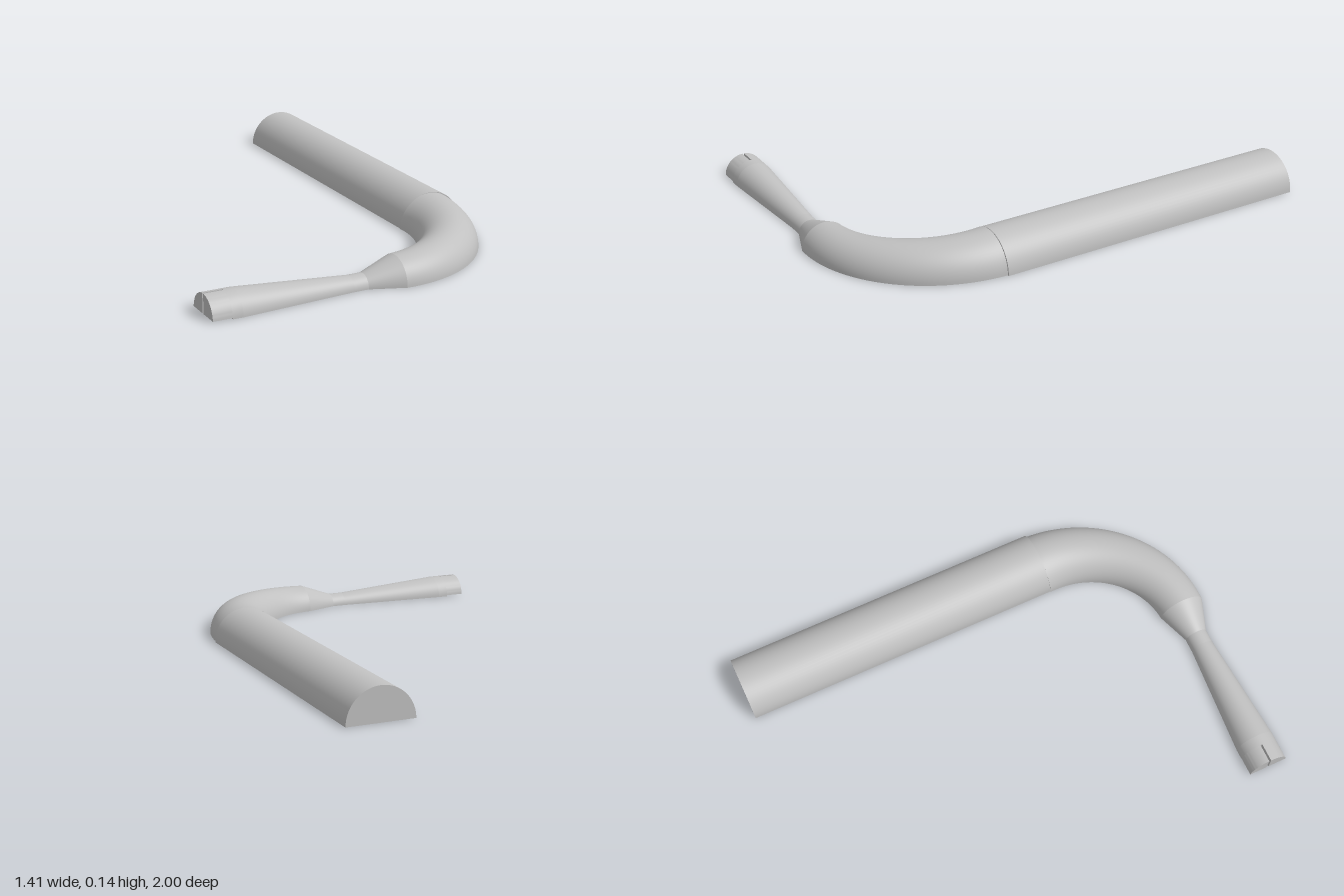
import * as THREE from 'three';
import { toCreasedNormals } from 'three/addons/utils/BufferGeometryUtils.js';

const ARC = 32;

// Sweeps a flat-bottomed half disc along stations { x, z, r, dx, dz }
function halfRoundSweep(stations) {
  const pos = [], index = [];
  const ringPoint = (s, j) => {
    const t = (Math.PI * j) / ARC, len = Math.hypot(s.dx, s.dz);
    const side = s.r * Math.cos(t) / len;
    return [s.x + s.dz * side, s.r * Math.sin(t), s.z - s.dx * side];
  };
  // arc columns followed by two separate columns for the flat base
  const columns = [...Array(ARC + 1).keys(), ARC, 0];
  const n = columns.length;
  for (const s of stations) for (const j of columns) pos.push(...ringPoint(s, j));
  for (let i = 0; i < stations.length - 1; i++) {
    for (let j = 0; j < n - 1; j++) {
      if (j === ARC) continue;
      const a = i * n + j, b = a + n;
      index.push(a, a + 1, b, a + 1, b + 1, b);
    }
  }
  // end caps
  const cap = (s, start) => {
    const c = pos.length / 3;
    pos.push(s.x, 0, s.z);
    for (let j = 0; j <= ARC; j++) pos.push(...ringPoint(s, j));
    for (let j = 1; j <= ARC; j++) {
      if (start) index.push(c, c + j + 1, c + j);
      else index.push(c, c + j, c + j + 1);
    }
  };
  cap(stations[0], true);
  cap(stations[stations.length - 1], false);
  const geo = new THREE.BufferGeometry();
  geo.setAttribute('position', new THREE.Float32BufferAttribute(pos, 3));
  geo.setIndex(index);
  geo.computeVertexNormals();
  return geo;
}

// One half of the split tip: a quarter-round prong beside the slot
function prongGeometry(sign, gap, r, length) {
  const base = 0.005;
  const a0 = Math.asin(base / r), a1 = Math.acos(gap / r);
  const shape = new THREE.Shape();
  const pts = [new THREE.Vector2(sign * gap, base)];
  for (let i = 0; i <= 16; i++) {
    const a = a0 + ((a1 - a0) * i) / 16;
    pts.push(new THREE.Vector2(sign * r * Math.cos(a), r * Math.sin(a)));
  }
  shape.setFromPoints(pts);
  const geo = new THREE.ExtrudeGeometry(shape, { depth: length, bevelEnabled: false });
  geo.rotateY(Math.PI / 2);
  return toCreasedNormals(geo, 0.5);
}

export function createModel() {
  const group = new THREE.Group();
  const steel = new THREE.MeshStandardMaterial({ color: 0xc0c0c0 });
  steel.name = 'light steel';
  const add = (name, geo) => {
    const mesh = new THREE.Mesh(geo, steel);
    mesh.name = name;
    group.add(mesh);
    return mesh;
  };

  // split tip
  const axisZ = 0.898;
  add('backProng', prongGeometry(1, 0.0065, 0.085, 0.08)).position.set(-0.708, 0, axisZ);
  add('frontProng', prongGeometry(-1, 0.002, 0.085, 0.08)).position.set(-0.708, 0, axisZ);

  // straight shank: x and radius at each change of taper
  const profile = [[-0.628, 0.085], [-0.585, 0.085], [-0.1, 0.05], [-0.04, 0.05], [0.1, 0.101]];
  const names = ['tipCollar', 'taperedShank', 'neck', 'flare'];
  names.forEach((name, i) => {
    const ends = [profile[i], profile[i + 1]];
    add(name, halfRoundSweep(ends.map(([x, r]) => ({ x, z: axisZ, r, dx: 1, dz: 0 }))));
  });

  // bend, thickening towards the handle
  const bend = [], A = 0.459, B = axisZ - 0.41;
  for (let i = 0; i <= 40; i++) {
    const t = (Math.PI / 2) * (i / 40);
    bend.push({
      x: 0.1 + A * Math.sin(t), z: 0.41 + B * Math.cos(t),
      r: 0.101 + 0.038 * (i / 40),
      dx: A * Math.cos(t), dz: -B * Math.sin(t),
    });
  }
  add('bend', halfRoundSweep(bend));

  // long handle
  add('handle', halfRoundSweep([0.41, -1].map((z) => ({ x: 0.564, z, r: 0.141, dx: 0, dz: -1 }))));

  return group;
}
